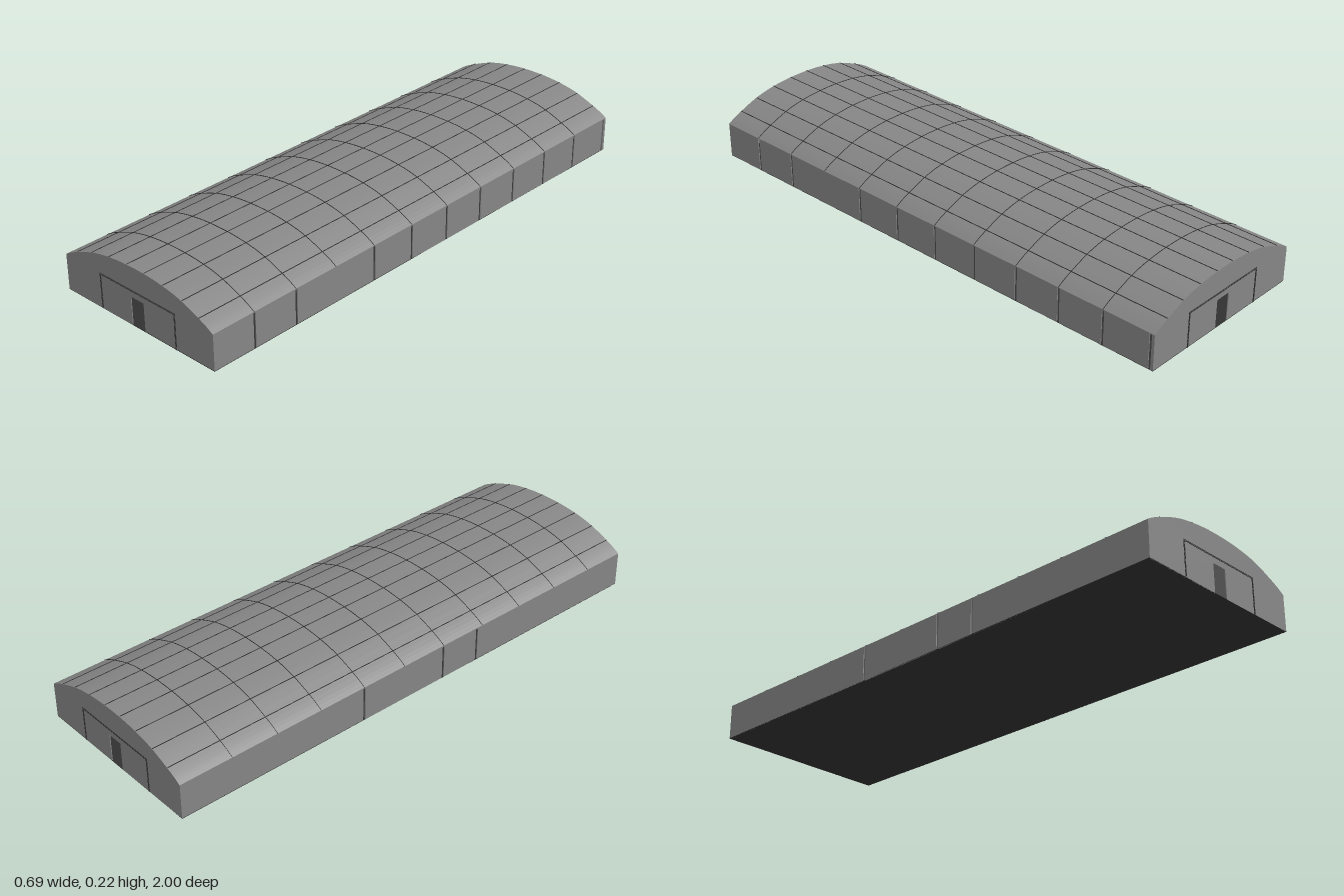
import * as THREE from 'three';
import { toCreasedNormals } from 'three/addons/utils/BufferGeometryUtils.js';

const HALF_W = 0.345, HALF_L = 1, EAVE = 0.132, SKIN = 0.003;

export function createModel() {
  const group = new THREE.Group();
  const concrete = new THREE.MeshStandardMaterial({ color: 0x868686 });
  concrete.name = 'grey cladding';
  const dark = new THREE.MeshStandardMaterial({ color: 0x303030 });
  dark.name = 'dark floor and seams';

  const add = (name, geometry, material, x = 0, y = 0, z = 0) => {
    const mesh = new THREE.Mesh(geometry, material);
    mesh.name = name;
    mesh.position.set(x, y, z);
    group.add(mesh);
    return mesh;
  };
  const box = (name, material, w, h, d, x, y, z) =>
    add(name, new THREE.BoxGeometry(w, h, d), material, x, y, z);

  // Arch profile, left eave to right eave
  const half = [[0.345, EAVE], [0.3, 0.156], [0.2, 0.194], [0.1, 0.212]];
  const knots = [
    ...half.map(([x, y]) => new THREE.Vector2(-x, y)),
    new THREE.Vector2(0, 0.217),
    ...half.slice().reverse().map(([x, y]) => new THREE.Vector2(x, y)),
  ];
  const arch = new THREE.SplineCurve(knots).getPoints(32);
  const archY = (x) => {
    const i = Math.max(1, arch.findIndex((p) => p.x >= x));
    const a = arch[i - 1], b = arch[i];
    return a.y + (b.y - a.y) * (x - a.x) / (b.x - a.x);
  };

  // Thin arched band between two vertical offsets from the profile
  const archBand = (low, high, depth) => {
    const lower = arch.map((p) => new THREE.Vector2(p.x, p.y + low));
    const upper = arch.map((p) => new THREE.Vector2(p.x, p.y + high)).reverse();
    return new THREE.ExtrudeGeometry(new THREE.Shape([...lower, ...upper]), { depth, bevelEnabled: false });
  };

  // Floor slab and roof skin
  box('floor', dark, HALF_W * 2, 0.002, HALF_L * 2, 0, 0.001, 0);
  add('roof', toCreasedNormals(archBand(-SKIN, 0, HALF_L * 2), 0.5), concrete, 0, 0, -HALF_L);

  // Roof seams across and along the arch
  const bays = [0.83, 0.65, 0.47, 0.29, 0.105, -0.075, -0.255, -0.44, -0.62, -0.8];
  const seam = archBand(-0.001, 0.002, 0.0015);
  for (const z of bays) add('roofCrossSeam', seam, dark, 0, 0, z);
  for (const x of [-0.285, -0.21, -0.125, -0.04, 0.04, 0.125, 0.21, 0.285]) {
    box('roofLongSeam', dark, 0.0015, 0.004, HALF_L * 2 - 0.002, x, archY(x), 0);
  }

  // Side walls: panels separated by narrow open joints
  const sideWall = (side, joints) => {
    const gap = 0.009;
    const edges = [HALF_L, ...joints, -HALF_L];
    for (let i = 0; i < edges.length - 1; i++) {
      const front = edges[i] - (i === 0 ? 0 : gap / 2);
      const back = edges[i + 1] + (i === edges.length - 2 ? 0 : gap / 2);
      box('sideWallPanel', concrete, SKIN, EAVE, front - back,
        side * (HALF_W - SKIN / 2), EAVE / 2, (front + back) / 2);
    }
  };
  sideWall(1, [...bays.filter((z) => z !== 0.47), -0.985]);
  sideWall(-1, [0.265, 0.105, -0.255]);

  // End walls with an open doorway
  const doorW = 0.03, doorH = 0.105;
  const end = new THREE.Shape([
    ...arch.map((p) => p.clone()),
    ...[[HALF_W, 0], [doorW, 0], [doorW, doorH], [-doorW, doorH], [-doorW, 0], [-HALF_W, 0]]
      .map(([x, y]) => new THREE.Vector2(x, y)),
  ]);
  const endWall = new THREE.ExtrudeGeometry(end, { depth: SKIN, bevelEnabled: false });
  add('frontWall', endWall, concrete, 0, 0, HALF_L - SKIN);
  add('backWall', endWall, concrete, 0, 0, -HALF_L);

  // Double outline of the large gate on each end
  for (const s of [1, -1]) {
    for (const [w, h] of [[0.176, 0.131], [0.172, 0.127]]) {
      const t = 0.0014, z = s * HALF_L;
      box('gateOutlineTop', dark, w * 2, t, 0.003, 0, h, z);
      for (const x of [-w, w]) box('gateOutlineSide', dark, t, h, 0.003, x, h / 2, z);
    }
  }
  return group;
}
